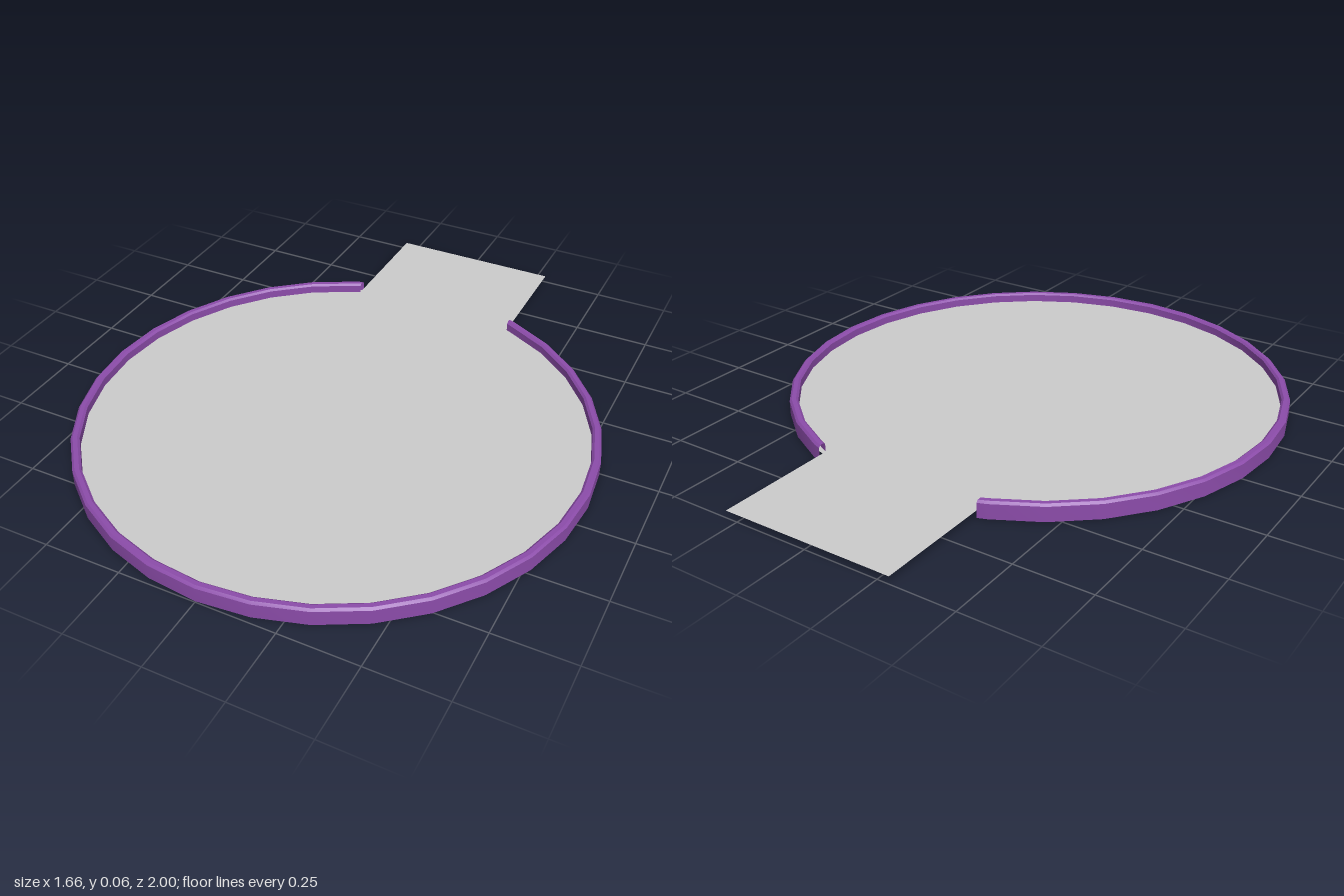
import * as THREE from 'three';
import { toCreasedNormals } from 'three/addons/utils/BufferGeometryUtils.js';

const CENTRE_Z = 0.165, OUTER = 0.832, NECK = 0.29, PLATE_Y = 0.024;

// Open-bottomed rim: a cross-section swept round the circle, leaving a gap at the back
function rimGeometry() {
  const profile = [[OUTER, 0], [OUTER, 0.049], [0.825, 0.056], [0.811, 0.056], [0.804, 0.05], [0.804, PLATE_Y - 0.004]];
  const positions = [], index = [], n = profile.length;
  for (let k = -15; k <= 15; k++) {
    const a = k * Math.PI / 16;
    for (const [r, y] of profile) {
      // the last section on each side is squared off against the neck
      if (Math.abs(k) === 15) positions.push(Math.sign(k) * NECK, y, -0.614 + OUTER - r);
      else positions.push(r * Math.sin(a), y, CENTRE_Z + r * Math.cos(a));
    }
  }
  for (let i = 0; i < 30; i++) {
    for (let j = 0; j < n - 1; j++) {
      const p = i * n + j, q = p + n;
      index.push(p, q, p + 1, q, q + 1, p + 1);
    }
  }
  const g = new THREE.BufferGeometry();
  g.setAttribute('position', new THREE.Float32BufferAttribute(positions, 3));
  g.setIndex(index);
  return toCreasedNormals(g, 0.6);
}

// Flat sixteen-sided disc with a rectangular neck running out at the back
function plateGeometry() {
  const points = [];
  for (let k = 7; k >= -7; k--) {
    const a = k * Math.PI / 8;
    points.push(new THREE.Vector2(0.821 * Math.sin(a), -CENTRE_Z - 0.821 * Math.cos(a)));
  }
  for (const [x, z] of [[-NECK, -0.6], [-NECK, -1], [NECK, -1], [NECK, -0.6]]) {
    points.push(new THREE.Vector2(x, -z));
  }
  return new THREE.ShapeGeometry(new THREE.Shape(points)).rotateX(-Math.PI / 2).translate(0, PLATE_Y, 0);
}

export function createModel() {
  const model = new THREE.Group();
  const add = (name, geometry, color) => {
    const mesh = new THREE.Mesh(geometry, new THREE.MeshStandardMaterial({ color, side: THREE.DoubleSide }));
    mesh.name = name;
    model.add(mesh);
  };
  add('rim', rimGeometry(), 0x8c4caa);
  add('floorPlate', plateGeometry(), 0xcccccc);
  return model;
}
